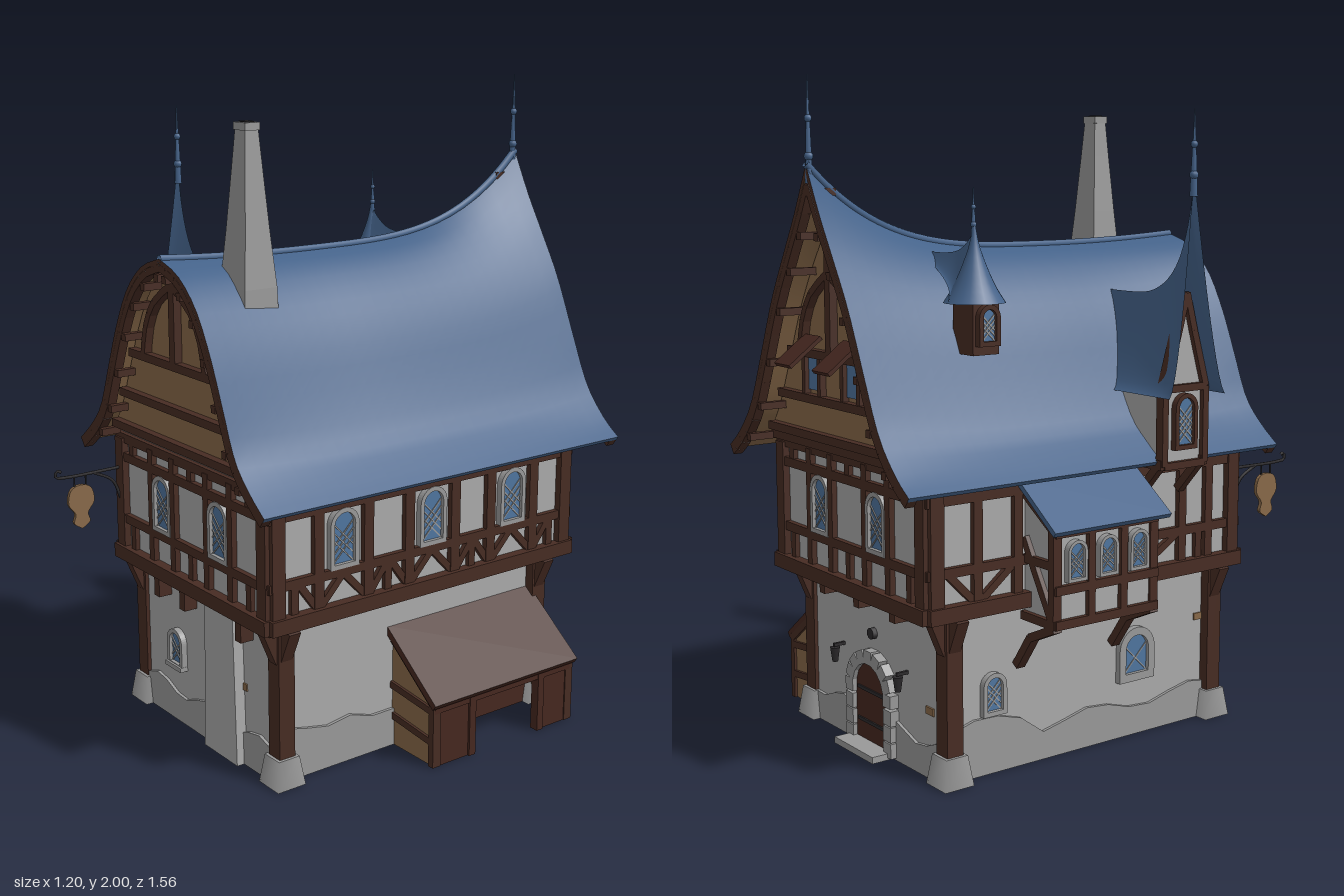
import * as THREE from 'three';

const mat = (name, color, side = THREE.FrontSide) => Object.assign(new THREE.MeshStandardMaterial({ color, side }), { name });
const V = (x, y, z) => new THREE.Vector3(x, y, z);
const spline = (pts, n) => new THREE.SplineCurve(pts.map((p) => new THREE.Vector2(p[0], p[1]))).getPoints(n);
const poly = (pts) => new THREE.Shape(pts.map((p) => new THREE.Vector2(p[0], p[1])));

export function createModel() {
  const M = {
    slate: mat('blueSlate', 0x446289, THREE.DoubleSide),
    timber: mat('darkTimber', 0x472c23, THREE.DoubleSide),
    tan: mat('tanBoards', 0x886949, THREE.DoubleSide),
    plaster: mat('greyPlaster', 0xaaaaaa),
    stone: mat('greyStone', 0x999999),
    glass: mat('blueGlass', 0x4f759f),
    shed: mat('shedWood', 0x45271f),
    iron: mat('darkIron', 0x2d2b2d),
  };
  const house = new THREE.Group();
  house.name = 'timberHouse';
  const add = (parent, name, geo, m, x = 0, y = 0, z = 0) => {
    const mesh = new THREE.Mesh(geo, m);
    mesh.name = name;
    mesh.position.set(x, y, z);
    parent.add(mesh);
    return mesh;
  };
  const box = (parent, name, m, w, h, d, x, y, z) => add(parent, name, new THREE.BoxGeometry(w, h, d), m, x, y, z);
  // timber between two points of a wall plane
  const beam = (parent, name, x1, y1, x2, y2, w = 0.03, z = 0, d = 0.04, m = M.timber) => {
    const b = box(parent, name, m, Math.hypot(x2 - x1, y2 - y1), w, d, (x1 + x2) / 2, (y1 + y2) / 2, z);
    b.rotation.z = Math.atan2(y2 - y1, x2 - x1);
  };
  // wall frame whose local z points outwards
  const face = (name, x, z, turn) => {
    const g = new THREE.Group();
    g.name = name;
    g.position.set(x, 0, z);
    g.rotation.y = turn * Math.PI / 2;
    house.add(g);
    return g;
  };
  const plate = (parent, name, shape, m, depth, z = 0) =>
    add(parent, name, new THREE.ExtrudeGeometry(shape, { depth, bevelEnabled: false, curveSegments: 10 }), m, 0, 0, z);
  const loft = (rings) => {
    const n = rings[0].length, idx = [];
    for (let i = 0; i < rings.length - 1; i++) for (let j = 0; j < n - 1; j++) {
      const a = i * n + j, b = a + n;
      idx.push(a, b, a + 1, b, b + 1, a + 1);
    }
    const g = new THREE.BufferGeometry().setFromPoints(rings.flat());
    g.setIndex(idx);
    g.computeVertexNormals();
    return g;
  };
  const arch = (S, x, y, w, h) => {
    const s = new S().moveTo(x - w / 2, y).lineTo(x + w / 2, y).lineTo(x + w / 2, y + h - w / 2);
    return s.absarc(x, y + h - w / 2, w / 2, 0, Math.PI, false).lineTo(x - w / 2, y);
  };
  const archWindow = (parent, x, y, w, h, trim = M.stone, t = 0.014) => {
    const frame = arch(THREE.Shape, x, y - t, w + 2 * t, h + 2 * t);
    frame.holes.push(arch(THREE.Path, x, y, w, h));
    plate(parent, 'windowFrame', frame, trim, 0.02);
    plate(parent, 'windowGlass', arch(THREE.Shape, x, y, w, h), M.glass, 0.006, 0.002);
    for (let b = y; b + w < y + h - w * 0.1; b += w / 3) for (const s of [-1, 1])
      beam(parent, 'windowLattice', x - s * w / 2, b, x + s * w / 2, b + w, 0.004, 0.009, 0.004, M.stone);
  };

  // hollow ground floor with stone corner feet and posts
  const plan = poly([[-0.37, -0.49], [0.37, -0.49], [0.37, 0.54], [-0.37, 0.54]]);
  plan.holes.push(poly([[-0.34, -0.46], [-0.34, 0.51], [0.34, 0.51], [0.34, -0.46]]));
  plate(house, 'groundWalls', plan, M.plaster, 0.5).rotation.x = -Math.PI / 2;
  box(house, 'innerFrontWindow', M.glass, 0.11, 0.18, 0.008, -0.165, 0.24, 0.458);
  box(house, 'innerLeftWindow', M.glass, 0.008, 0.18, 0.12, -0.338, 0.25, 0.18);
  box(house, 'innerPost', M.timber, 0.05, 0.42, 0.05, -0.32, 0.28, 0.44);
  for (const sx of [-1, 1]) for (const z of [0.475, -0.525]) {
    add(house, 'cornerFoot', new THREE.CylinderGeometry(0.052, 0.07, 0.09, 4, 1).rotateY(Math.PI / 4), M.stone, sx * 0.375, 0.045, z);
    box(house, 'cornerPost', M.timber, 0.055, 0.42, 0.055, sx * 0.375, 0.3, z);
    beam(house, 'postBracket', sx * 0.385, 0.4, sx * 0.43, 0.5, 0.035, z);
    box(house, 'postBracket', M.timber, 0.035, 0.12, 0.04, sx * 0.375, 0.45, z + Math.sign(z) * 0.035).rotation.x = Math.sign(z) * 0.4;
  }
  const ground = [face('groundFront', 0, 0.49, 0), face('groundRight', 0.37, -0.025, 1),
    face('groundBack', 0, -0.54, 2), face('groundLeft', -0.37, -0.025, 3)];
  ground.forEach((g, k) => {
    const half = k % 2 ? 0.5 : 0.35, pts = [[half, 0], [-half, 0]];
    for (let i = 0; i <= 12; i++) pts.push([-half + i * half / 6, 0.105 + 0.02 * Math.sin(i * 1.3 + k * 2) + (i < 4 && k % 2 ? 0.05 : 0)]);
    plate(g, 'stoneSkirting', poly(pts.reverse()), M.stone, 0.01);
  });
  const [gFront, , gBack, gLeft] = ground;
  archWindow(gFront, -0.165, 0.2, 0.06, 0.1);
  box(gFront, 'windowSill', M.stone, 0.09, 0.015, 0.03, -0.165, 0.19, 0.012);
  plate(gFront, 'chimneyBreast', poly([[0.03, 0], [0.21, 0], [0.195, 0.5], [0.045, 0.5]]), M.plaster, 0.035);
  for (const x of [-0.22, -0.07, 0.24]) box(gFront, 'jettyBracket', M.timber, 0.03, 0.09, 0.05, x, 0.46, 0.02);
  for (const x of [-0.2, 0, 0.2]) box(gBack, 'jettyBracket', M.timber, 0.03, 0.05, 0.07, x, 0.475, 0.03);
  archWindow(gLeft, -0.35, 0.19, 0.055, 0.1);
  archWindow(gLeft, 0.19, 0.2, 0.09, 0.12, M.stone, 0.025);
  for (const [x, y, g] of [[0.2, 0.25, gFront], [0.3, 0.2, gBack], [0.46, 0.33, gLeft]]) box(g, 'barePatch', M.tan, 0.04, 0.022, 0.006, x, y, 0.002);

  // back door with stone arch, step and lanterns
  plate(gBack, 'doorLeaf', arch(THREE.Shape, 0, 0.02, 0.18, 0.25), M.shed, 0.015);
  for (const y of [0.08, 0.18]) box(gBack, 'doorStrap', M.iron, 0.15, 0.01, 0.006, 0, y, 0.017);
  for (let i = 0; i <= 14; i++) {
    const a = (i - 3) / 8 * Math.PI, low = i < 3 ? 3 - i : i > 11 ? i - 11 : 0;
    const c = low ? [i < 3 ? 0.107 : -0.107, 0.18 - low * 0.05] : [0.107 * Math.cos(a), 0.18 + 0.107 * Math.sin(a)];
    box(gBack, 'archStone', M.stone, 0.042, low ? 0.046 : 0.04, 0.035, c[0], c[1], 0.012).rotation.z = low ? 0 : a;
  }
  box(gBack, 'doorStep', M.stone, 0.22, 0.02, 0.085, 0, 0.01, 0.04);
  add(gBack, 'doorBadge', new THREE.CylinderGeometry(0.018, 0.018, 0.015, 10).rotateX(Math.PI / 2), M.iron, 0, 0.36, 0.01);
  for (const x of [-0.18, 0.18]) {
    box(gBack, 'lanternArm', M.iron, 0.01, 0.01, 0.04, x, 0.285, 0.02);
    add(gBack, 'lantern', new THREE.CylinderGeometry(0.017, 0.01, 0.045, 6), M.iron, x, 0.255, 0.035);
  }

  // jettied upper floor and its timber frame
  box(house, 'upperFloor', M.plaster, 0.82, 0.41, 1.15, 0, 0.715, -0.04);
  box(house, 'jettyFloor', M.timber, 0.85, 0.03, 1.18, 0, 0.508, -0.04);
  const framing = (g, half, wins, gap, braced, extra) => {
    for (const [y, h, d] of [[0.52, 0.045, 0.065], [0.635, 0.028, 0.035], [0.84, 0.028, 0.035], [0.9, 0.03, 0.03]])
      box(g, 'rail', M.timber, 2 * half + 0.03, h, d, 0, y, 0);
    for (const s of [-1, 1]) box(g, 'cornerStud', M.timber, 0.045, 0.38, 0.045, s * (half - 0.015), 0.71, 0);
    for (const x of wins) {
      archWindow(g, x, 0.66, 0.075, 0.155);
      for (const s of [-1, 1]) {
        box(g, 'stud', M.timber, braced ? 0.035 : 0.028, 0.38, 0.035, x + s * gap, 0.71, 0);
        if (braced) for (const to of [0, gap + 0.07]) beam(g, 'footBrace', x + s * gap, 0.535, x + s * to, 0.63, 0.022, 0, 0.03);
      }
    }
    for (const x of extra) for (const y of [0.87, 0.58]) box(g, 'shortStud', M.timber, 0.025, y > 0.6 ? 0.06 : 0.1, 0.03, x, y, 0);
  };
  framing(face('upperFront', 0, 0.535, 0), 0.41, [-0.15, 0.165], 0.063, false, [-0.33, 0.01, 0.32]);
  framing(face('upperBack', 0, -0.615, 2), 0.41, [-0.16, 0.16], 0.063, false, [-0.33, 0, 0.33]);
  framing(face('upperRight', 0.41, -0.04, 1), 0.575, [-0.325, 0.01, 0.335], 0.09, true, [-0.5, -0.16, 0.17, 0.5]);
  const left = face('upperLeft', -0.41, -0.04, 3);
  framing(left, 0.575, [], 0.09, true, [0.42]);
  for (const x of [-0.42, -0.28, 0.17, 0.35, 0.46]) box(left, 'stud', M.timber, 0.03, 0.38, 0.035, x, 0.71, 0);
  for (const [a, b] of [[-0.42, -0.28], [0.17, 0.35], [-0.42, -0.53]]) beam(left, 'footBrace', a, 0.53, b, 0.64, 0.022, 0, 0.03);

  // main roof: bulging front, sagging middle, ridge sweeping up to the back peak
  const front = [[0, 1.525], [0.1, 1.49], [0.19, 1.41], [0.26, 1.29], [0.32, 1.15], [0.375, 1.02], [0.44, 0.945], [0.515, 0.885]];
  const middle = [[0, 1.505], [0.08, 1.47], [0.17, 1.385], [0.24, 1.275], [0.31, 1.125], [0.38, 1.0], [0.45, 0.935], [0.515, 0.885]];
  const back = [[0, 1.76], [0.07, 1.62], [0.14, 1.5], [0.22, 1.36], [0.3, 1.18], [0.37, 1.03], [0.45, 0.935], [0.515, 0.885]];
  const section = (z, n = 20) => {
    const w = z < 0.1 ? Math.pow((0.1 - z) / 0.85, 3.5) : Math.pow((z - 0.1) / 0.525, 2), end = z < 0.1 ? back : front;
    return spline(middle.map((p, i) => p.map((c, k) => THREE.MathUtils.lerp(c, end[i][k], w))), n);
  };
  // same curve moved inwards along its normal
  const inset = (pts, d) => pts.map((p, i) => {
    const a = pts[Math.max(i - 1, 0)], b = pts[Math.min(i + 1, pts.length - 1)], l = Math.hypot(b.x - a.x, b.y - a.y);
    return i ? new THREE.Vector2(Math.max(0, p.x + d * (b.y - a.y) / l), p.y - d * (b.x - a.x) / l) : new THREE.Vector2(0, p.y - d * l / (b.x - a.x));
  });
  const zs = Array.from({ length: 25 }, (_, i) => 0.625 - i * 1.37 / 24);
  for (const s of [-1, 1]) {
    const outer = zs.map((z) => section(z).map((p) => V(s * p.x, p.y, z)));
    const inner = zs.map((z) => inset(section(z), 0.014).map((p) => V(s * p.x, p.y, z)));
    add(house, 'roofSlope', loft(s > 0 ? outer : [...outer].reverse()), M.slate);
    add(house, 'roofSoffit', loft(inner), M.tan);
    for (const k of [0, 24]) add(house, 'roofEdge', loft([outer[k], inner[k]]), M.timber);
    add(house, 'eaveEdge', loft([outer.map((r) => r[20]), inner.map((r) => r[20])]), M.slate);
  }
  const ridge = new THREE.CatmullRomCurve3(zs.map((z) => V(0, section(z)[0].y, z)));
  add(house, 'ridgeCap', new THREE.TubeGeometry(ridge, 40, 0.012, 8), M.slate);
  const finial = (x, y0, y1, z, r) => {
    add(house, 'finialSpike', new THREE.CylinderGeometry(0.0015, r, y1 - y0, 8), M.slate, x, (y0 + y1) / 2, z);
    for (const t of [0.25, 0.6]) add(house, 'finialBall', new THREE.SphereGeometry(r * (1.3 - t * 0.6), 10, 8), M.slate, x, y0 + (y1 - y0) * t, z);
  };
  finial(0, 1.7, 2, -0.735, 0.012);

  // gables with boards, bargeboards and curved king post braces
  const gable = (g, z, zEdge) => {
    const edge = inset(section(z, 40), 0.025).map((p) => [p.x, p.y]), half = edge.filter((p) => p[1] > 0.94);
    plate(g, 'gableBoards', poly([...half.map((p) => [-p[0], p[1]]).reverse(), ...half.slice(1)].reverse()), M.tan, 0.02, -0.02);
    for (const y of [0.96, 1.07, 1.205]) box(g, 'gableRail', M.timber, 2 * edge.findLast((p) => p[1] > y + 0.013)[0], 0.025, 0.04, 0, y, 0.005);
    beam(g, 'kingPost', 0, 1.205, 0, edge[0][1] - 0.03, 0.03, 0.005);
    const out = Math.abs(zEdge - z), rim = inset(section(zEdge, 16), 0.025), low = inset(section(zEdge, 16), 0.05);
    for (const s of [-1, 1]) {
      const arc = spline([[0.17, 1.21], [0.15, 1.3], [0.1, 1.38], [0.01, 1.44]], 6);
      for (let i = 0; i < 6; i++) beam(g, 'curvedBrace', s * arc[i].x, arc[i].y, s * arc[i + 1].x, arc[i + 1].y, 0.022, 0.005);
      for (let i = 0; i < 16; i++) {
        beam(g, 'bargeboard', s * rim[i].x, rim[i].y, s * rim[i + 1].x, rim[i + 1].y, 0.022, out - 0.01, 0.03);
        if (i % 2 && i < 14) box(g, 'purlinEnd', M.timber, 0.022, 0.022, out + 0.01, s * low[i].x, low[i].y, out / 2);
      }
    }
  };
  gable(face('frontGable', 0, 0.565, 0), 0.565, 0.62);
  const backGable = face('backGable', 0, -0.66, 2);
  gable(backGable, -0.66, -0.74);
  box(house, 'gableSill', M.timber, 0.78, 0.03, 0.06, 0, 0.932, -0.635);
  for (const x of [-0.11, 0.11]) {
    box(backGable, 'gableWindow', M.glass, 0.07, 0.1, 0.008, x, 1.145, 0.003);
    for (const s of [-1, 1]) box(backGable, 'gableWindowPost', M.timber, 0.018, 0.13, 0.03, x + s * 0.045, 1.14, 0.005);
    box(backGable, 'openShutter', M.shed, 0.09, 0.012, 0.13, x, 1.215, 0.06).rotation.x = 0.65;
  }

  // chimney
  const stack = [[1.33, 0.068, 0.059], [1.44, 0.064, 0.056], [1.6, 0.05, 0.042], [1.78, 0.034, 0.03], [1.89, 0.026, 0.022]];
  const square = ([y, hx, hz]) => [[-1, 1], [1, 1], [1, -1], [-1, -1], [-1, 1]].map(([p, q]) => V(0.117 + p * hx, y, 0.398 + q * hz));
  add(house, 'chimneyStack', loft(stack.map(square).reverse()).toNonIndexed(), M.stone).geometry.computeVertexNormals();
  box(house, 'chimneyCap', M.stone, 0.06, 0.022, 0.05, 0.117, 1.895, 0.398);
  box(house, 'chimneyFlue', M.iron, 0.036, 0.01, 0.028, 0.117, 1.904, 0.398);

  // cross roof along x, with a swept ridge
  const dormerRoof = (name, pts, zc, eave, width, lean) => {
    for (const s of [-1, 1]) {
      const rings = spline(pts, 20).map((p, i) => Array.from({ length: 11 }, (_, j) => {
        const d = j / 10, f = Math.pow(1 - d, 1.5), e = eave(i / 20);
        return V(p.x - lean * (1 - f), e + (p.y - e) * f, zc + s * d * width(i / 20));
      }));
      add(house, name, loft(s > 0 ? rings.reverse() : rings), M.slate);
    }
  };
  // tall dormer on the left side
  dormerRoof('tallDormerRoof', [[-0.553, 1.73], [-0.535, 1.6], [-0.5, 1.49], [-0.45, 1.42], [-0.38, 1.38], [-0.3, 1.37], [-0.18, 1.37]], 0.218, () => 1.08, () => 0.11, 0.03);
  finial(-0.552, 1.66, 1.91, 0.218, 0.012);
  const tall = face('tallDormer', -0.52, 0.218, 3);
  const tallShape = [[-0.08, 0.87], [0.08, 0.87], [0.08, 1.1], [0.03, 1.27], [0, 1.38], [-0.03, 1.27], [-0.08, 1.1]];
  plate(tall, 'dormerGable', poly(tallShape), M.plaster, 0.02, -0.02);
  box(tall, 'dormerBody', M.plaster, 0.155, 0.23, 0.2, 0, 0.985, -0.1);
  tallShape.forEach((p, i) => beam(tall, 'dormerTimber', ...p, ...tallShape[(i + 1) % 7], 0.022, 0, 0.03));
  beam(tall, 'dormerRail', -0.08, 1.1, 0.08, 1.1, 0.022, 0, 0.03);
  archWindow(tall, 0, 0.93, 0.06, 0.14, M.timber);
  for (const x of [-0.08, 0.08]) {
    box(tall, 'dormerSill', M.timber, 0.028, 0.03, 0.12, x, 0.875, -0.05);
    beam(house, 'dormerBracket', -0.51, 0.87, -0.42, 0.77, 0.025, 0.218 + x, 0.025);
  }

  // small hooded dormer
  const hood = spline([[0.09, 1.365], [0.062, 1.41], [0.035, 1.47], [0.014, 1.53], [0.003, 1.59]], 10);
  add(house, 'hoodCone', new THREE.LatheGeometry(hood, 24), M.slate, -0.278, 0, -0.365);
  dormerRoof('hoodRidge', [[-0.275, 1.57], [-0.25, 1.54], [-0.2, 1.51], [-0.13, 1.5], [-0.05, 1.5]], -0.365, (t) => 1.37 + 0.11 * t, (t) => 0.088 * (1 - 0.9 * t), 0);
  finial(-0.275, 1.55, 1.69, -0.365, 0.008);
  const small = face('hoodDormer', -0.335, -0.365, 3);
  box(small, 'hoodWall', M.timber, 0.09, 0.16, 0.1, 0, 1.3, -0.05);
  archWindow(small, 0, 1.26, 0.045, 0.09, M.timber);

  // bay with lean-to roof on the left side
  plate(house, 'bayWall', poly([[-0.555, 0.47], [-0.4, 0.47], [-0.4, 0.85], [-0.555, 0.745]]), M.plaster, 0.36, -0.285);
  beam(house, 'bayRoof', -0.593, 0.74, -0.42, 0.865, 0.016, -0.105, 0.43, M.slate);
  for (const z of [-0.285, 0.075])
    for (const b of [[-0.55, 0.46, -0.55, 0.75], [-0.565, 0.47, -0.41, 0.47], [-0.555, 0.742, -0.41, 0.837], [-0.55, 0.48, -0.42, 0.7], [-0.55, 0.64, -0.42, 0.64], [-0.56, 0.46, -0.45, 0.41], [-0.45, 0.41, -0.38, 0.31]])
      beam(house, 'bayTimber', ...b, 0.025, z, 0.03);
  const bay = face('bayFront', -0.555, -0.105, 3);
  for (const y of [0.47, 0.57, 0.735]) box(bay, 'bayRail', M.timber, 0.38, 0.026, 0.03, 0, y, 0);
  for (const x of [-0.06, 0.06]) box(bay, 'bayStud', M.timber, 0.025, 0.27, 0.03, x, 0.6, 0);
  for (const x of [-0.115, 0, 0.115]) archWindow(bay, x, 0.6, 0.05, 0.1, M.stone, 0.01);

  // lean-to shed on the right side
  beam(house, 'shedRoof', 0.36, 0.385, 0.592, 0.205, 0.022, -0.218, 0.59, M.shed);
  for (const z of [0.05, -0.5]) {
    plate(house, 'shedEnd', poly([[0.36, 0], [0.565, 0], [0.565, 0.21], [0.36, 0.36]]), M.tan, 0.012, z - 0.006);
    for (const b of [[0.565, 0, 0.565, 0.215], [0.37, 0.355, 0.57, 0.2], [0.37, 0.2, 0.57, 0.18], [0.37, 0.1, 0.57, 0.08]])
      beam(house, 'shedTimber', ...b, 0.022, z, 0.03);
  }
  box(house, 'shedHeader', M.shed, 0.025, 0.03, 0.56, 0.565, 0.19, -0.22);
  for (const [z, w] of [[-0.015, 0.15], [-0.435, 0.13]]) box(house, 'shedPanel', M.shed, 0.015, 0.19, w, 0.565, 0.095, z);
  for (const z of [-0.09, -0.375]) box(house, 'shedPost', M.shed, 0.03, 0.2, 0.025, 0.565, 0.1, z);
  box(house, 'shedBack', M.shed, 0.01, 0.3, 0.54, 0.39, 0.15, -0.22);

  // hanging sign on an iron bracket
  const rod = (name, pts) => add(house, name, new THREE.TubeGeometry(new THREE.CatmullRomCurve3(pts.map((p) => V(-0.4, ...p))), 24, 0.005, 6), M.iron);
  rod('signArm', [[0.8, 0.54], [0.8, 0.75], [0.805, 0.778], [0.825, 0.775], [0.82, 0.76]]);
  rod('signStay', [[0.69, 0.55], [0.76, 0.58], [0.8, 0.65]]);
  const sign = face('hangingSign', -0.406, 0.695, 1);
  const outline = [[0, 0.625], [0.028, 0.645], [0.022, 0.675], [0.045, 0.71], [0.035, 0.755], [0, 0.768], [-0.035, 0.755], [-0.045, 0.71], [-0.022, 0.675], [-0.028, 0.645]];
  plate(sign, 'signBoard', new THREE.Shape(spline([...outline, outline[0]], 40)), M.tan, 0.012);
  for (const x of [-0.02, 0.02]) box(sign, 'signChain', M.iron, 0.004, 0.04, 0.004, x, 0.78, 0.006);
  return house;
}
